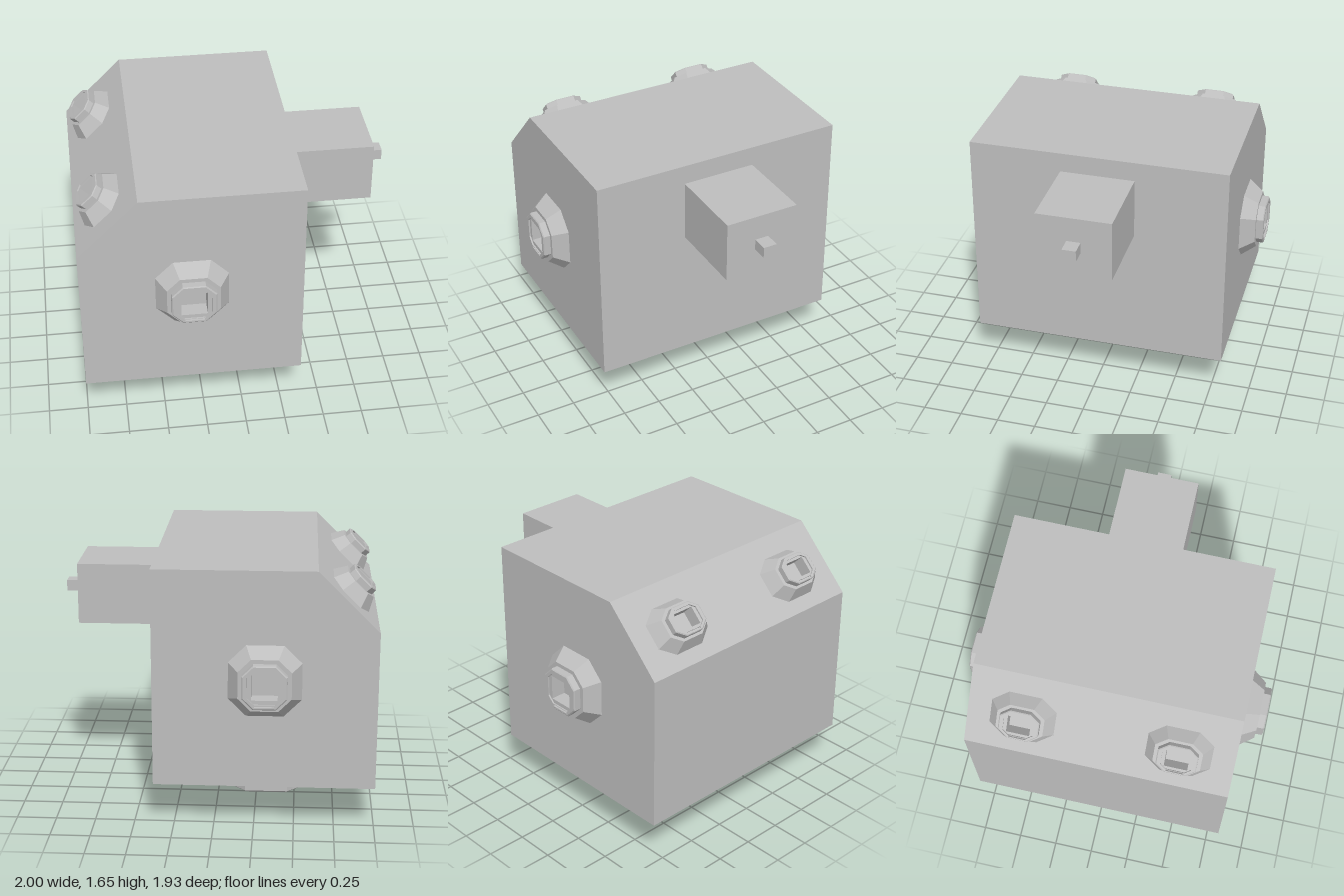
import * as THREE from 'three';

const grey = new THREE.MeshStandardMaterial({ color: 0xbebebe, flatShading: true });
grey.name = 'grey';

// Rectangle with cut corners, counter-clockwise seen from +z
function cutRect(w, h, cut, cy = 0) {
  const a = w - cut, b = h - cut;
  return [[w, -b], [w, b], [a, h], [-a, h], [-w, b], [-w, -b], [-a, -h], [a, -h]]
    .map(([x, y]) => new THREE.Vector2(x, y + cy));
}

// Skin between rings given as [halfWidth, halfHeight, cornerCut, z, centreY]
function loft(rings) {
  const pos = [];
  const pts = rings.map(([w, h, c, z, cy]) =>
    cutRect(w, h, c, cy).map((p) => new THREE.Vector3(p.x, p.y, z)));
  const area = new THREE.Triangle();
  const tri = (a, b, c) => {
    if (area.set(a, b, c).getArea() > 1e-9) for (const p of [a, b, c]) pos.push(p.x, p.y, p.z);
  };
  for (let i = 0; i + 1 < pts.length; i++) {
    for (let j = 0; j < 8; j++) {
      const k = (j + 1) % 8, lo = pts[i], hi = pts[i + 1];
      tri(lo[j], lo[k], hi[k]);
      tri(lo[j], hi[k], hi[j]);
    }
  }
  const geo = new THREE.BufferGeometry();
  geo.setAttribute('position', new THREE.Float32BufferAttribute(pos, 3));
  geo.computeVertexNormals();
  return geo;
}

function add(parent, name, geo) {
  const mesh = new THREE.Mesh(geo, grey);
  mesh.name = name;
  parent.add(mesh);
  return mesh;
}

// Port facing +z: tapered collar, cap, square socket and a small slot below it
function makePort(name) {
  const g = new THREE.Group();
  g.name = name;
  const top = 0.14;
  add(g, 'collar', loft([
    [0.225, 0.225, 0.11, 0], [0.163, 0.163, 0.08, 0.093], [0.138, 0.138, 0.068, 0.093],
  ]));
  add(g, 'cap', loft([
    [0.138, 0.138, 0.068, 0.093], [0.138, 0.138, 0.068, 0.134], [0.131, 0.131, 0.065, top],
  ]));
  const face = new THREE.Shape(cutRect(0.131, 0.131, 0.065));
  face.holes.push(new THREE.Path(cutRect(0.105, 0.105, 0.04).reverse()));
  const slotHole = [[-0.06, -0.121], [-0.06, -0.108], [0.06, -0.108], [0.06, -0.121]];
  face.holes.push(new THREE.Path(slotHole.map(([x, y]) => new THREE.Vector2(x, y))));
  add(g, 'capFace', new THREE.ShapeGeometry(face).translate(0, 0, top));
  add(g, 'socket', loft([
    [0.105, 0.105, 0.04, top], [0.105, 0.105, 0.04, 0.13], [0.08, 0.08, 0, 0.13],
    [0.08, 0.08, 0, 0.035], [0, 0, 0, 0.035],
  ]));
  add(g, 'slot', loft([
    [0.06, 0.0065, 0, top, -0.1145], [0.06, 0.0065, 0, 0.125, -0.1145], [0, 0, 0, 0.125, -0.1145],
  ]));
  return g;
}

// Place a port with its face along "out" and its upper side along "up"
function placePort(root, name, position, up, out, scale) {
  const port = makePort(name);
  const u = new THREE.Vector3(...up).normalize(), o = new THREE.Vector3(...out).normalize();
  const basis = new THREE.Matrix4().makeBasis(new THREE.Vector3().crossVectors(u, o), u, o);
  port.quaternion.setFromRotationMatrix(basis);
  port.position.set(...position);
  port.scale.set(...scale);
  root.add(port);
}

export function createModel() {
  const root = new THREE.Group();
  root.name = 'portedBlock';

  // Main block with one sloped edge
  const outline = [[-1, 0.28], [0.375, 0.28], [0.375, 1.655], [-0.625, 1.655], [-1, 1.28]];
  const side = new THREE.Shape(outline.map(([x, y]) => new THREE.Vector2(x, y)));
  add(root, 'body', new THREE.ExtrudeGeometry(side, { depth: 1.65, bevelEnabled: false })
    .translate(0, 0, -0.825));

  // Side arm and its tip
  add(root, 'arm', new THREE.BoxGeometry(0.525, 0.39, 0.475)).position.set(0.6375, 1.335, 0);
  add(root, 'armTip', new THREE.BoxGeometry(0.1, 0.07, 0.088)).position.set(0.95, 1.335, 0);

  // Front and back ports, large bottom port, two on the slope
  placePort(root, 'frontPort', [-0.315, 0.97, 0.825], [0, 1, 0], [0, 0, 1], [1, 1, 1]);
  placePort(root, 'backPort', [-0.315, 0.97, -0.825], [0, 1, 0], [0, 0, -1], [1, 1, 1]);
  placePort(root, 'bottomPort', [-0.315, 0.28, 0], [-1, 0, 0], [0, -1, 0], [1.98, 1.98, 2]);
  for (const z of [-0.483, 0.483]) {
    placePort(root, z > 0 ? 'slopePortFront' : 'slopePortBack', [-0.828, 1.452, z],
      [1, 1, 0], [-1, 1, 0], [0.89, 0.675, 0.89]);
  }
  return root;
}
